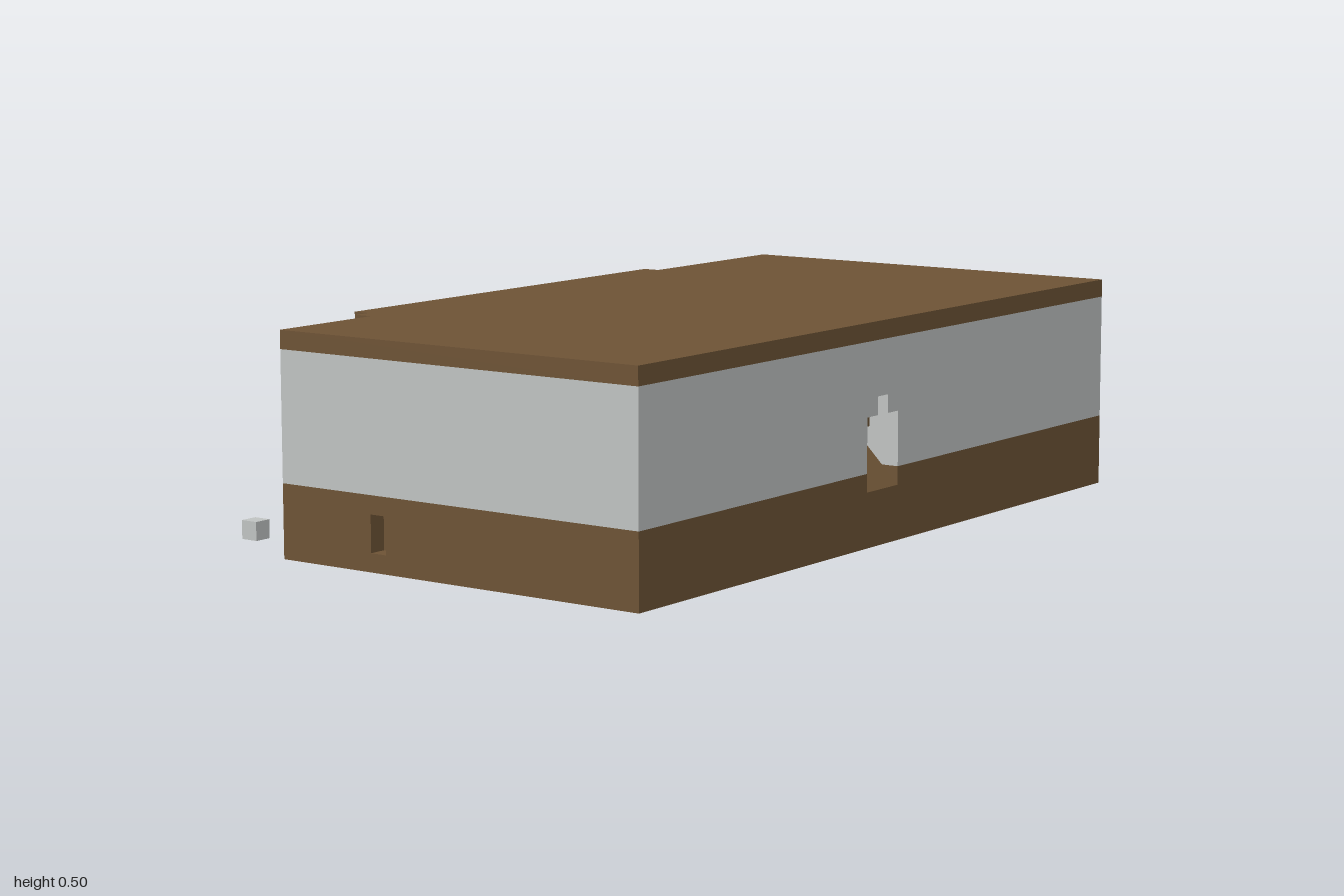
import * as THREE from 'three';

const U = 1 / 24; // one block of the building grid

export function createModel() {
  const group = new THREE.Group();
  group.name = 'building';
  const brown = new THREE.MeshStandardMaterial({ color: 0x6d5335 });
  brown.name = 'brown timber';
  const grey = new THREE.MeshStandardMaterial({ color: 0xbfc2c1 });
  grey.name = 'light grey wall';

  const add = (name, geometry, material) => {
    geometry.scale(U, U, U);
    const mesh = new THREE.Mesh(geometry, material);
    mesh.name = name;
    group.add(mesh);
  };

  // Box given by its opposite corners, in blocks
  const block = (name, material, [x0, y0, z0], [x1, y1, z1]) => {
    const g = new THREE.BoxGeometry(x1 - x0, y1 - y0, z1 - z0);
    g.translate((x0 + x1) / 2, (y0 + y1) / 2, (z0 + z1) / 2);
    add(name, g, material);
  };

  // Horizontal slice of the building; niches cut into its front or right wall
  const slice = (name, material, y0, y1, niche, slot) => {
    const plan = [[-23, -10.5], [-16, -10.5], [-16, -11.5], [-15, -11.5], [-15, -12.5],
      [11, -12.5], [11, -11.5], [22, -11.5], [22, 12.5]];
    if (niche) {
      const [a, b] = niche;
      plan.push([b, 12.5], [b, 10.5], [a, 10.5], [a, 12.5]);
    }
    plan.push([-23, 12.5]);
    if (slot) plan.push([-23, -3.5], [-22, -3.5], [-22, -4.5], [-23, -4.5]);
    const shape = new THREE.Shape(plan.map(([x, z]) => new THREE.Vector2(x, -z)));
    const g = new THREE.ExtrudeGeometry(shape, { depth: y1 - y0, bevelEnabled: false });
    g.rotateX(-Math.PI / 2);
    g.translate(0, y0, 0);
    add(name, g, material);
  };

  // Base, walls and roof
  slice('baseBottom', brown, 0, 1);
  slice('baseMiddle', brown, 1, 3, null, true);
  slice('baseTop', brown, 3, 4, [-3, 0]);
  slice('wallLower', grey, 4, 7, [-3, 0]);
  slice('wallNicheTop', grey, 7, 8, [-2, -1]);
  slice('wallUpper', grey, 8, 11);
  slice('roof', brown, 11, 12);

  // Sloping sill and panelled back of the front niche
  const wedge = new THREE.Shape([[0, 0], [2, 0], [0, 2]].map(p => new THREE.Vector2(...p)));
  const sill = new THREE.ExtrudeGeometry(wedge, { depth: 3, bevelEnabled: false });
  sill.rotateY(-Math.PI / 2);
  sill.translate(0, 3, 10.5);
  add('nicheSill', sill, brown);
  block('nichePanel', brown, [-3, 6, 10.5], [0, 7, 10.7]);
  block('nichePanelTop', brown, [-2, 7, 10.5], [-1, 8, 10.7]);

  // Stepped bracket on the left wall
  block('bracketPost', brown, [22, 0, -5.5], [23, 4, -3.5]);
  block('bracketSide', brown, [22, 1, -3.5], [23, 3, -2.5]);
  block('bracketEnd', brown, [23, 1, -4.5], [24, 3, -3.5]);

  // Small detached block behind the right corner
  block('cornerBlock', grey, [-24, 1, -12.5], [-23, 2, -11.5]);

  return group;
}
